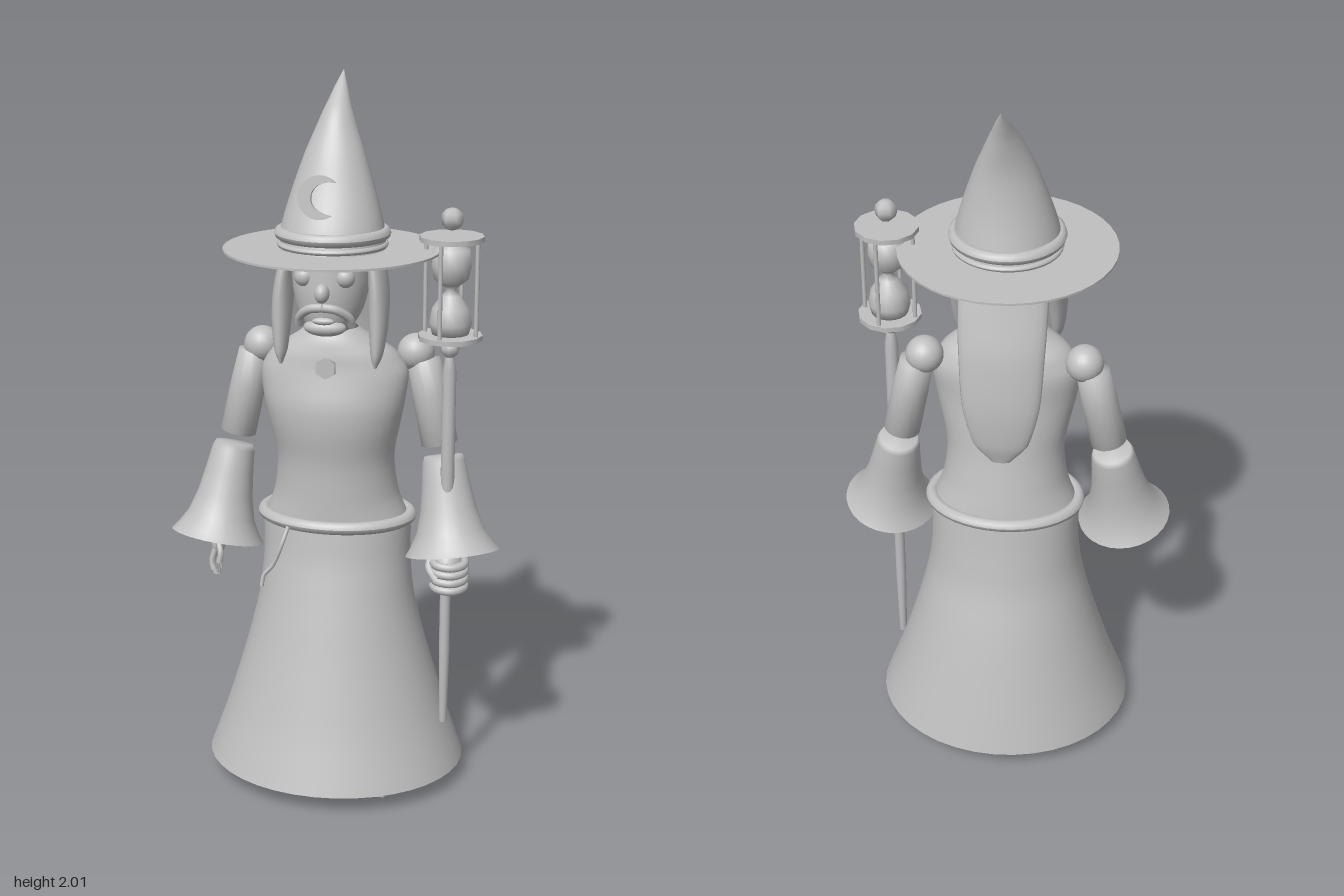
import * as THREE from 'three';

const grey = new THREE.MeshStandardMaterial({ color: 0xc0c0c0, side: THREE.DoubleSide });
grey.name = 'grey';
const V = (x, y, z) => new THREE.Vector3(x, y, z);

function add(parent, name, geometry, x = 0, y = 0, z = 0) {
  const mesh = new THREE.Mesh(geometry, grey);
  mesh.name = name;
  mesh.position.set(x, y, z);
  parent.add(mesh);
  return mesh;
}

// Smooth skin through elliptical rings, bottom to top: [y, half width, front z, back z, centre x]
function loft(rows, sides = 32, steps = 4) {
  const size = new THREE.CatmullRomCurve3(rows.map(r => V(r[1], r[2], r[3])));
  const place = new THREE.CatmullRomCurve3(rows.map(r => V(r[4] || 0, r[0], 0)));
  const n = (rows.length - 1) * steps, pos = [], idx = [];
  for (let i = 0; i <= n; i++) {
    const s = size.getPoint(i / n), p = place.getPoint(i / n);
    for (let j = 0; j < sides; j++) {
      const a = (j / sides) * Math.PI * 2;
      pos.push(p.x + s.x * Math.sin(a), p.y, (s.y + s.z) / 2 + ((s.y - s.z) / 2) * Math.cos(a));
      if (i === n) continue;
      const k = (j + 1) % sides, b = i * sides, t = b + sides;
      idx.push(b + j, b + k, t + k, b + j, t + k, t + j);
    }
  }
  const g = new THREE.BufferGeometry();
  g.setAttribute('position', new THREE.Float32BufferAttribute(pos, 3));
  g.setIndex(idx);
  g.computeVertexNormals();
  return g;
}

// Turned form running from a to b; profile is [radius, fraction along]
function turned(parent, name, a, b, profile, sides = 20) {
  const len = a.distanceTo(b);
  const g = new THREE.LatheGeometry(profile.map(p => new THREE.Vector2(p[0], p[1] * len)), sides);
  const m = add(parent, name, g, a.x, a.y, a.z);
  m.quaternion.setFromUnitVectors(V(0, 1, 0), b.clone().sub(a).normalize());
  return m;
}

function blob(parent, name, x, y, z, rx, ry = rx, rz = rx) {
  return add(parent, name, new THREE.SphereGeometry(1, 20, 14).scale(rx, ry, rz), x, y, z);
}

function tube(parent, name, points, r) {
  const curve = new THREE.CatmullRomCurve3(points.map(p => V(...p)));
  return add(parent, name, new THREE.TubeGeometry(curve, 16, r, 8), 0, 0, 0);
}

function ring(parent, name, y, z, rx, rz, r) {
  const g = new THREE.TorusGeometry(1, r, 10, 40).rotateX(Math.PI / 2);
  const p = g.attributes.position;
  for (let i = 0; i < p.count; i++) {
    const a = Math.atan2(p.getZ(i), p.getX(i)), d = Math.hypot(p.getX(i), p.getZ(i)) - 1;
    p.setX(i, Math.cos(a) * (rx + d));
    p.setZ(i, Math.sin(a) * (rz + d));
  }
  g.computeVertexNormals();
  return add(parent, name, g, 0, y, z);
}

function addBody(g) {
  add(g, 'skirt', loft([[0.045, 0.37, 0.313, -0.335], [0.2, 0.315, 0.262, -0.298], [0.4, 0.255, 0.205, -0.248],
    [0.55, 0.22, 0.165, -0.205], [0.67, 0.21, 0.135, -0.185], [0.77, 0.212, 0.12, -0.172]], 40));
  add(g, 'torso', loft([[0.77, 0.205, 0.12, -0.17], [0.85, 0.175, 0.12, -0.155], [0.95, 0.165, 0.123, -0.135],
    [1.05, 0.183, 0.138, -0.12], [1.12, 0.197, 0.138, -0.11], [1.2, 0.205, 0.12, -0.105],
    [1.26, 0.17, 0.11, -0.09], [1.3, 0.11, 0.1, -0.05], [1.33, 0.07, 0.085, -0.02]], 36));
  turned(g, 'neck', V(0, 1.25, 0.03), V(0, 1.4, 0.04), [[0.06, 0], [0.055, 1]]);
  ring(g, 'belt', 0.775, -0.025, 0.208, 0.148, 0.018);
  tube(g, 'beltCord', [[-0.11, 0.77, 0.12], [-0.125, 0.72, 0.14], [-0.15, 0.66, 0.142], [-0.175, 0.63, 0.145], [-0.18, 0.6, 0.15]], 0.006);
  const pendant = add(g, 'pendant', new THREE.CylinderGeometry(0.03, 0.03, 0.015, 6), 0, 1.235, 0.132);
  pendant.rotation.x = Math.PI / 2;
}

function addHead(g) {
  add(g, 'face', loft([[1.315, 0.002, 0.09, 0.085], [1.335, 0.055, 0.145, 0.02], [1.39, 0.09, 0.165, -0.03],
    [1.47, 0.105, 0.168, -0.06], [1.56, 0.105, 0.16, -0.06]]));
  blob(g, 'nose', 0, 1.45, 0.178, 0.02, 0.026, 0.024);
  blob(g, 'mouth', 0, 1.372, 0.163, 0.03, 0.01, 0.012);
  blob(g, 'chinBeard', 0, 1.35, 0.14, 0.058, 0.024, 0.03);
  for (const s of [-1, 1]) {
    blob(g, 'eye', s * 0.055, 1.487, 0.142, 0.027, 0.027, 0.025);
    tube(g, 'eyebrow', [[s * 0.02, 1.515, 0.168], [s * 0.055, 1.53, 0.158], [s * 0.09, 1.515, 0.13]], 0.008);
    tube(g, 'moustache', [[0, 1.41, 0.172], [s * 0.035, 1.405, 0.168], [s * 0.066, 1.38, 0.145], [s * 0.072, 1.355, 0.13]], 0.012);
    add(g, 'hairLock', loft([[1.235, 0.004, 0.11, 0.095, s * 0.13], [1.27, 0.017, 0.12, 0.06, s * 0.132],
      [1.37, 0.027, 0.12, 0.02, s * 0.133], [1.47, 0.025, 0.115, -0.02, s * 0.127], [1.55, 0.018, 0.1, -0.03, s * 0.11]], 16));
  }
  add(g, 'backHair', loft([[0.97, 0.025, -0.13, -0.145], [1.03, 0.075, -0.12, -0.16], [1.15, 0.105, -0.108, -0.165],
    [1.3, 0.115, -0.085, -0.15], [1.42, 0.12, -0.05, -0.12], [1.5, 0.12, 0, -0.1], [1.55, 0.115, 0.06, -0.075]], 24));
}

function addHat(g) {
  add(g, 'hatBrim', new THREE.CylinderGeometry(0.295, 0.295, 0.006, 40), 0, 1.545, 0.039);
  add(g, 'hatCone', loft([[1.545, 0.145, 0.18, -0.105], [1.6, 0.14, 0.162, -0.09], [1.7, 0.113, 0.115, -0.07],
    [1.8, 0.08, 0.07, -0.064], [1.9, 0.041, 0.012, -0.08], [1.96, 0.018, -0.055, -0.098], [2, 0.001, -0.11, -0.112]]));
  ring(g, 'hatBand', 1.588, 0.036, 0.14, 0.137, 0.017);
  ring(g, 'lowerHatBand', 1.558, 0.036, 0.142, 0.139, 0.008);

  // Crescent open towards the left of the figure
  const moon = new THREE.Shape();
  moon.absarc(0, 0, 0.058, 0.75, 5.35, false);
  const end = 0.058;
  moon.quadraticCurveTo(-0.028, -0.035, -0.022, 0.005);
  moon.quadraticCurveTo(-0.012, 0.045, end * Math.cos(0.75), end * Math.sin(0.75));
  const m = add(g, 'moonOrnament', new THREE.ExtrudeGeometry(moon, { depth: 0.012, bevelEnabled: false, curveSegments: 20 }), -0.016, 1.695, 0.127);
  m.rotation.x = -0.12;
}

function addArm(g, s) {
  const arm = new THREE.Group();
  arm.name = s > 0 ? 'leftArm' : 'rightArm';
  g.add(arm);
  blob(arm, 'shoulder', s * 0.217, 1.247, -0.045, 0.052);
  turned(arm, 'upperArm', V(s * 0.237, 1.235, -0.045), V(s * 0.291, 0.98, -0.035),
    [[0, 0], [0.046, 0.03], [0.05, 0.4], [0.051, 0.95], [0, 1]]);
  turned(arm, 'sleeve', V(s * 0.299, 0.96, -0.033), V(s * 0.338, 0.694, 0.026),
    [[0, 0], [0.053, 0.01], [0.06, 0.07], [0.068, 0.3], [0.078, 0.55], [0.095, 0.78], [0.118, 0.93], [0.132, 1]], 28);
  turned(arm, 'wrist', V(s * 0.31, 0.9, -0.01), V(s * 0.332, 0.69, 0.03), [[0.035, 0], [0.026, 1]]);
  if (s > 0) {
    // Fist wrapped round the staff
    blob(arm, 'palm', 0.328, 0.66, 0.04, 0.045, 0.055, 0.055);
    for (let i = 0; i < 4; i++) {
      const y = 0.68 - i * 0.023;
      tube(arm, 'finger', [[0.372, y, 0.025], [0.376, y - 0.005, 0.07], [0.345, y - 0.008, 0.096], [0.305, y - 0.006, 0.09], [0.29, y - 0.004, 0.065]], 0.012);
    }
    tube(arm, 'thumb', [[0.285, 0.69, 0.04], [0.28, 0.66, 0.07], [0.305, 0.635, 0.1]], 0.012);
  } else {
    // Relaxed open hand
    blob(arm, 'palm', -0.334, 0.68, 0.035, 0.018, 0.045, 0.04);
    for (let i = 0; i < 4; i++) {
      const z = 0.005 + i * 0.022, low = 0.6 - 0.02 * Math.sin(i + 0.6);
      tube(arm, 'finger', [[-0.334, 0.67, z], [-0.343, 0.63, z + 0.004], [-0.337, low, z + 0.008]], 0.009);
    }
    tube(arm, 'thumb', [[-0.328, 0.7, 0.065], [-0.315, 0.665, 0.085], [-0.318, 0.635, 0.09]], 0.009);
  }
}

function addStaff(g) {
  const staff = new THREE.Group();
  staff.name = 'staff';
  staff.position.set(0.322, 0, 0.038);
  g.add(staff);
  const at = (name, geo, y) => add(staff, name, geo, 0, y, 0);
  const lathe = (pts, n) => new THREE.LatheGeometry(pts.map(p => new THREE.Vector2(...p)), n);
  at('shaft', lathe([[0, 0.17], [0.011, 0.18], [0.015, 0.4], [0.015, 0.87], [0.019, 0.88], [0.019, 1.22], [0.012, 1.26]], 12), 0);
  at('collar', new THREE.SphereGeometry(0.026, 8, 6), 1.283);
  for (const y of [1.316, 1.584]) at('lanternPlate', new THREE.CylinderGeometry(0.087, 0.087, 0.014, 12), y);
  at('finial', new THREE.SphereGeometry(0.031, 6, 6), 1.635);
  at('hourglass', lathe([[0, 1.32], [0.05, 1.325], [0.058, 1.355], [0.05, 1.395], [0.025, 1.43], [0.012, 1.446],
    [0.028, 1.46], [0.047, 1.475], [0.054, 1.51], [0.05, 1.555], [0, 1.58]], 16), 0);
  for (let i = 0; i < 4; i++) {
    const a = 0.25 + (i * Math.PI) / 2;
    const x = Math.cos(a) * 0.074, z = Math.sin(a) * 0.074;
    add(staff, 'lanternPost', new THREE.CylinderGeometry(0.006, 0.006, 0.27, 8), x, 1.45, z);
  }
}

function addFoot(g, s) {
  const foot = new THREE.Group();
  foot.name = s > 0 ? 'leftFoot' : 'rightFoot';
  foot.position.set(s * 0.135, 0, 0.055);
  g.add(foot);
  // Sole with cut corners
  const sole = new THREE.Shape([[-0.05, -0.15], [0.05, -0.15], [0.065, -0.11], [0.075, 0.08], [0.045, 0.145],
    [-0.045, 0.145], [-0.075, 0.08], [-0.065, -0.11]].map(p => new THREE.Vector2(...p)));
  const m = add(foot, 'sole', new THREE.ExtrudeGeometry(sole, { depth: 0.022, bevelEnabled: false }).rotateX(-Math.PI / 2).rotateY(Math.PI), 0, 0.012, 0);
  m.rotation.x = 0.06;
  blob(foot, 'shoe', 0, 0.045, 0.01, 0.066, 0.05, 0.13);
  turned(foot, 'shin', V(0, 0.04, -0.07), V(-s * 0.02, 0.6, -0.08), [[0.055, 0], [0.06, 0.3], [0.065, 1]]);
}

export function createModel() {
  const model = new THREE.Group();
  model.name = 'robedFigure';
  addBody(model);
  addHead(model);
  addHat(model);
  addStaff(model);
  for (const s of [-1, 1]) {
    addArm(model, s);
    addFoot(model, s);
  }
  return model;
}
